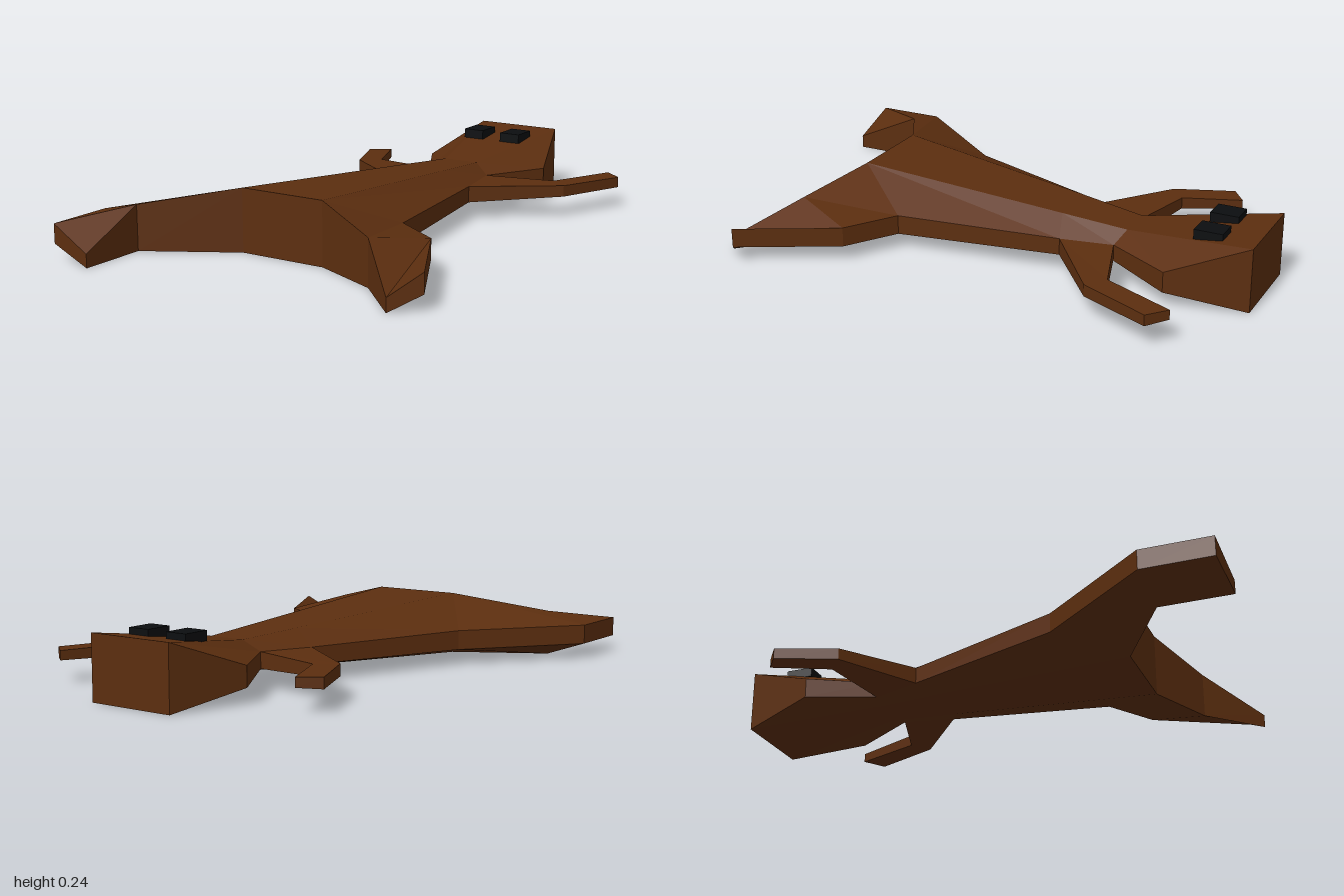
import * as THREE from 'three';

// Each column is a point of the plan: [x, z, top height, bottom height]
const columns = {
  crownR: [-0.10, -1.00, 0.235, 0], crownL: [0.24, -1.00, 0.235, 0],
  cheekR: [-0.19, -0.72, 0.13, 0.055], cheekL: [0.33, -0.72, 0.13, 0.055],
  neckR: [0.00, -0.51, 0.17, 0.058], neckL: [0.14, -0.51, 0.17, 0.058],
  armpitR: [-0.06, -0.485, 0.13, 0.07], armpitL: [0.20, -0.485, 0.13, 0.07],
  chestR: [-0.05, -0.26, 0.185, 0.045], chestL: [0.14, -0.26, 0.185, 0.045],
  shoulderR: [-0.135, -0.29, 0.127, 0.065], shoulderL: [0.23, -0.29, 0.127, 0.065],
  elbowInR: [-0.325, -0.54, 0.123, 0.08], elbowInL: [0.45, -0.57, 0.123, 0.08],
  elbowOutR: [-0.395, -0.48, 0.123, 0.08], elbowOutL: [0.52, -0.515, 0.123, 0.08],
  handInR: [-0.41, -0.75, 0.12, 0.085], handInL: [0.56, -0.835, 0.12, 0.085],
  handOutR: [-0.485, -0.695, 0.12, 0.08], handOutL: [0.63, -0.775, 0.12, 0.08],
  pelvisR: [-0.20, 0.555, 0.235, 0], pelvisL: [0.14, 0.555, 0.235, 0],
  hipR: [-0.37, 0.32, 0.13, 0.058], hipL: [0.315, 0.32, 0.13, 0.058],
  kneeOutR: [-0.69, 0.725, 0.13, 0.058], kneeOutL: [0.50, 0.44, 0.13, 0.058],
  kneeInR: [-0.525, 0.74, 0.17, 0], kneeInL: [0.40, 0.67, 0.17, 0],
  footOutR: [-0.69, 0.98, 0.13, 0.058], footOutL: [0.685, 0.79, 0.13, 0.058],
  footInR: [-0.525, 1.00, 0.05, 0], footInL: [0.59, 0.86, 0.05, 0],
};

// Parts as plan polygons; '*' stands for the side letter
const parts = {
  head: ['crownR crownL neckL neckR'],
  torso: ['neckR neckL chestL chestR', 'chestR chestL pelvisL pelvisR'],
};
const sideParts = {
  Cheek: ['crown* cheek* armpit* neck*'],
  Flank: ['neck* armpit* shoulder* chest*', 'chest* shoulder* hip* pelvis*'],
  UpperArm: ['armpit* elbowIn* elbowOut* shoulder*'],
  Forearm: ['elbowIn* handIn* handOut* elbowOut*'],
  Thigh: ['pelvis* hip* kneeOut* kneeIn*'],
  Foot: ['kneeIn* kneeOut* footOut* footIn*'],
};
for (const [letter, side] of [['L', 'left'], ['R', 'right']]) {
  for (const [name, polys] of Object.entries(sideParts)) {
    parts[side + name] = polys.map((p) => p.replaceAll('*', letter));
  }
}

// Names of a polygon, turned counter-clockwise as seen from above
function orient(text) {
  const names = text.split(' ');
  let area = 0;
  names.forEach((n, i) => {
    const a = columns[n], b = columns[names[(i + 1) % names.length]];
    area += a[0] * b[1] - b[0] * a[1];
  });
  return area > 0 ? names.reverse() : names;
}

const edgesOf = (names) => names.map((n, i) => [n, names[(i + 1) % names.length]]);

// Top, bottom and every outer wall of the polygons in one part
function slabGeometry(polys, allEdges) {
  const pos = [];
  const top = (n) => [columns[n][0], columns[n][2], columns[n][1]];
  const bottom = (n) => [columns[n][0], columns[n][3], columns[n][1]];
  const quad = (a, b, c, d) => pos.push(...a, ...b, ...c, ...a, ...c, ...d);
  for (const names of polys) {
    quad(...names.map(top));
    quad(...[...names].reverse().map(bottom));
    for (const [a, b] of edgesOf(names)) {
      if (!allEdges.has(b + ' ' + a)) quad(bottom(a), bottom(b), top(b), top(a));
    }
  }
  const geometry = new THREE.BufferGeometry();
  geometry.setAttribute('position', new THREE.Float32BufferAttribute(pos, 3));
  geometry.computeVertexNormals();
  return geometry;
}

export function createModel() {
  const model = new THREE.Group();
  model.name = 'flatCreature';
  const brown = new THREE.MeshStandardMaterial({ color: 0x5c2e0f, flatShading: true });
  brown.name = 'brown hide';
  const black = new THREE.MeshStandardMaterial({ color: 0x0c0e10, flatShading: true });
  black.name = 'black eye';

  // Body: shared edges stay open, outer edges get walls
  const oriented = Object.entries(parts).map(([name, polys]) => [name, polys.map(orient)]);
  const allEdges = new Set();
  for (const [, polys] of oriented) {
    for (const names of polys) edgesOf(names).forEach(([a, b]) => allEdges.add(a + ' ' + b));
  }
  for (const [name, polys] of oriented) {
    const mesh = new THREE.Mesh(slabGeometry(polys, allEdges), brown);
    mesh.name = name;
    model.add(mesh);
  }

  // Eyes: flat blocks on top of the head
  for (const [name, x] of [['rightEye', -0.02], ['leftEye', 0.145]]) {
    const eye = new THREE.Mesh(new THREE.BoxGeometry(0.085, 0.036, 0.105), black);
    eye.name = name;
    eye.position.set(x, 0.224, -0.823);
    model.add(eye);
  }
  return model;
}
